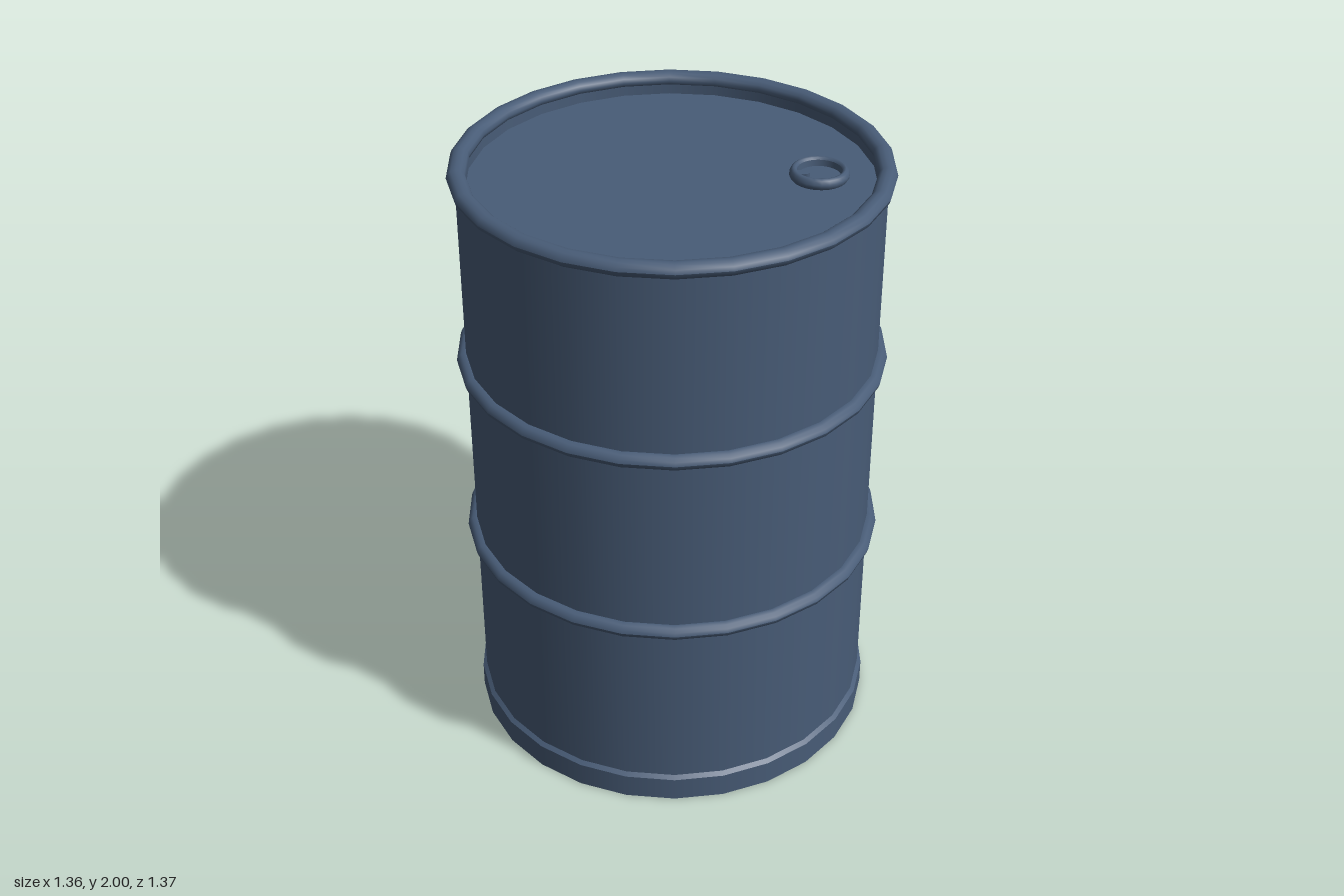
import * as THREE from 'three';

const SIDES = 26;

export function createModel() {
  const drum = new THREE.Group();
  drum.name = 'steelDrum';
  const paint = new THREE.MeshStandardMaterial({ color: 0x485c77 });
  paint.name = 'blueGreyPaint';

  function add(name, geometry, parent = drum) {
    const mesh = new THREE.Mesh(geometry, paint);
    mesh.name = name;
    parent.add(mesh);
    return mesh;
  }

  // Each band of a turned part is its own lathe, so edges between bands stay sharp
  function turned(name, bands, sides = SIDES, parent = drum) {
    const group = new THREE.Group();
    group.name = name;
    bands.forEach((band, i) => {
      const points = band.map(([r, y]) => new THREE.Vector2(r, y));
      add(name + 'Face' + (i + 1), new THREE.LatheGeometry(points, sides), group);
    });
    parent.add(group);
    return group;
  }

  // Closed oval profile swept around the axis
  function oval(radius, y, rx, ry, steps = 12) {
    return Array.from({ length: steps + 1 }, (_, i) => {
      const a = (i / steps) * Math.PI * 2;
      return [radius + rx * Math.cos(a), y + ry * Math.sin(a)];
    });
  }

  // Wall and the lid set below the rim
  turned('wall', [[[0.655, 0.08], [0.655, 1.975]], [[0.625, 1.975], [0.625, 1.93]]]);
  turned('lid', [[[0.63, 1.93], [0, 1.93]]]);

  // Rolled rim and the two hoops
  turned('rim', [oval(0.65, 1.975, 0.03, 0.025)]);
  for (const [name, y] of [['lowerHoop', 0.7], ['upperHoop', 1.34]]) {
    turned(name, [oval(0.655, y, 0.03, 0.025)]);
  }

  // Foot band with a bevelled top and a recessed bottom
  turned('footBand', [
    [[0.668, 0], [0.668, 0.082]],
    [[0.668, 0.082], [0.654, 0.094]],
    [[0.648, 0.03], [0.652, 0]],
    [[0.652, 0], [0.668, 0]],
  ].map((band, i) => (i === 2 ? [[0.648, 0.03], [0.652, 0]] : band)));
  turned('bottom', [[[0, 0.03], [0.65, 0.03]]]);

  // Filler cap: rounded collar around a shallow well
  const cap = new THREE.Group();
  cap.name = 'fillerCap';
  cap.position.set(0.447, 1.93, 0);
  drum.add(cap);
  turned('collar', [
    [[0.086, 0], [0.092, 0.009], [0.092, 0.018], [0.087, 0.029], [0.08, 0.034], [0.073, 0.032], [0.069, 0.026]],
    [[0.069, 0.026], [0.067, 0.006]],
  ], 24, cap);
  turned('well', [[[0.07, 0.006], [0, 0.006]]], 24, cap);

  // Small rounded grip inside the well
  const outline = new THREE.Shape();
  outline.moveTo(-0.07, -0.015);
  outline.lineTo(-0.045, -0.012);
  outline.absarc(-0.042, 0, 0.012, -Math.PI / 2, Math.PI / 2, false);
  outline.lineTo(-0.07, 0.015);
  const grip = add('grip', new THREE.ExtrudeGeometry(outline, { depth: 0.016, bevelEnabled: false, curveSegments: 6 }), cap);
  grip.rotation.x = -Math.PI / 2;
  grip.position.set(0, 0.006, 0.008);

  return drum;
}
